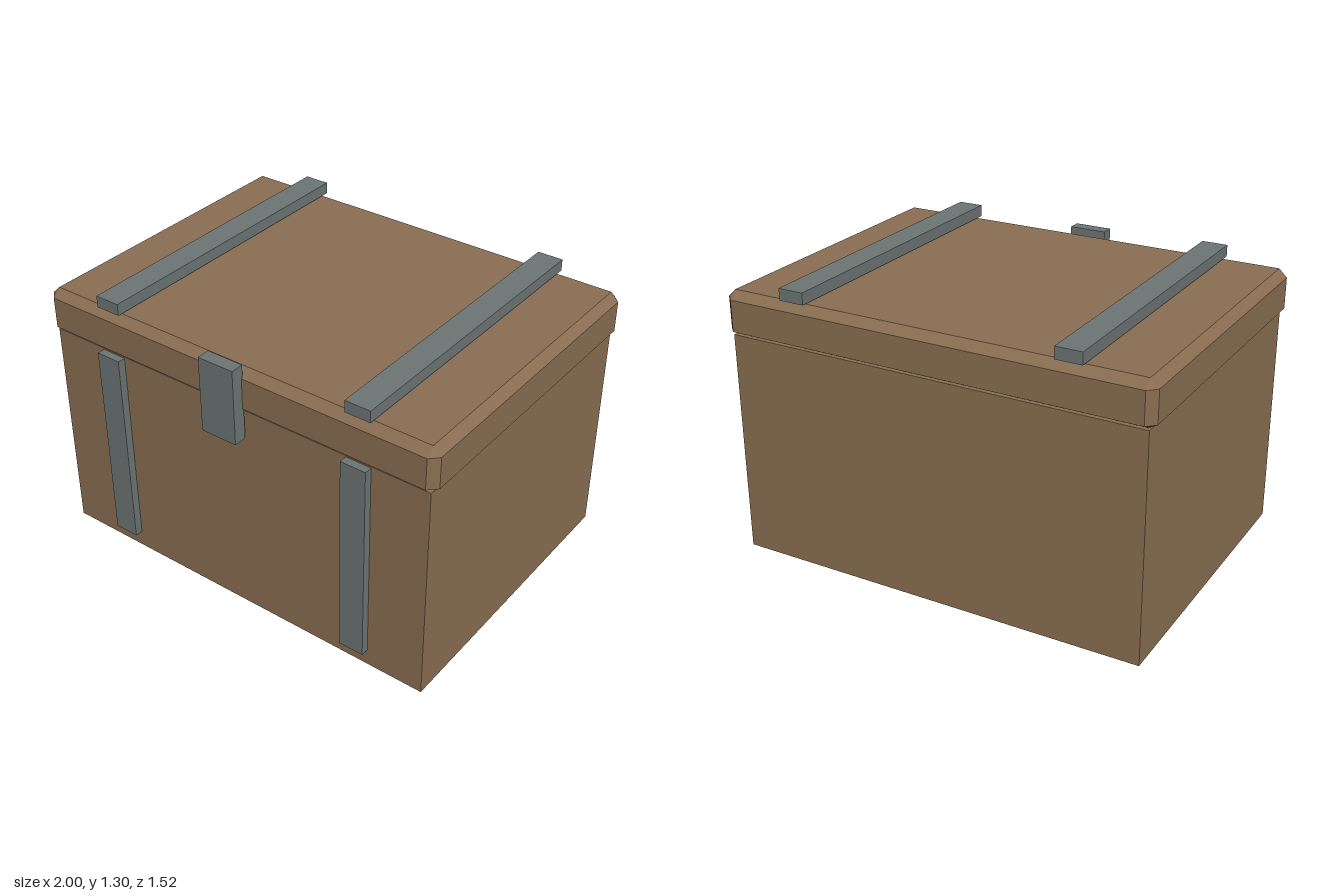
import * as THREE from 'three';
import { ConvexGeometry } from 'three/addons/geometries/ConvexGeometry.js';

const wood = new THREE.MeshStandardMaterial({ color: 0x8a6e52 });
wood.name = 'brown wood';
const metal = new THREE.MeshStandardMaterial({ color: 0x6d7575 });
metal.name = 'grey metal';

// Box given by its min and max corners
function box(name, material, [x0, y0, z0], [x1, y1, z1]) {
  const mesh = new THREE.Mesh(new THREE.BoxGeometry(x1 - x0, y1 - y0, z1 - z0), material);
  mesh.position.set((x0 + x1) / 2, (y0 + y1) / 2, (z0 + z1) / 2);
  mesh.name = name;
  return mesh;
}

// Slab with chamfered edges, resting on y = 0
function chamferedSlab(width, height, depth, chamfer, topChamfer, bottomChamfer) {
  const points = [];
  const w = width / 2, d = depth / 2;
  for (const sx of [-1, 1]) for (const sz of [-1, 1]) {
    for (const y of [0, height])
      points.push(new THREE.Vector3(sx * (w - chamfer), y, sz * (d - chamfer)));
    for (const y of [bottomChamfer, height - topChamfer]) {
      points.push(new THREE.Vector3(sx * w, y, sz * (d - chamfer)));
      points.push(new THREE.Vector3(sx * (w - chamfer), y, sz * d));
    }
  }
  return new ConvexGeometry(points);
}

export function createModel() {
  const chest = new THREE.Group();
  chest.name = 'chest';

  chest.add(box('body', wood, [-0.975, 0, -0.736], [0.975, 1.041, 0.687]));

  const lid = new THREE.Mesh(chamferedSlab(2, 0.202, 1.463, 0.038, 0.037, 0.02), wood);
  lid.position.set(0, 1.042, -0.0245);
  lid.name = 'lid';
  chest.add(lid);

  // Metal bands on the front and over the lid
  for (const [side, x] of [['left', 0.643], ['right', -0.643]]) {
    chest.add(box(side + 'FrontBand', metal, [x - 0.06, 0.08, 0.68], [x + 0.06, 1.035, 0.724]));
    chest.add(box(side + 'LidBand', metal, [x - 0.06, 1.249, -0.748], [x + 0.06, 1.303, 0.697]));
  }

  chest.add(box('latch', metal, [-0.088, 0.914, 0.699], [0.088, 1.268, 0.76]));
  return chest;
}
